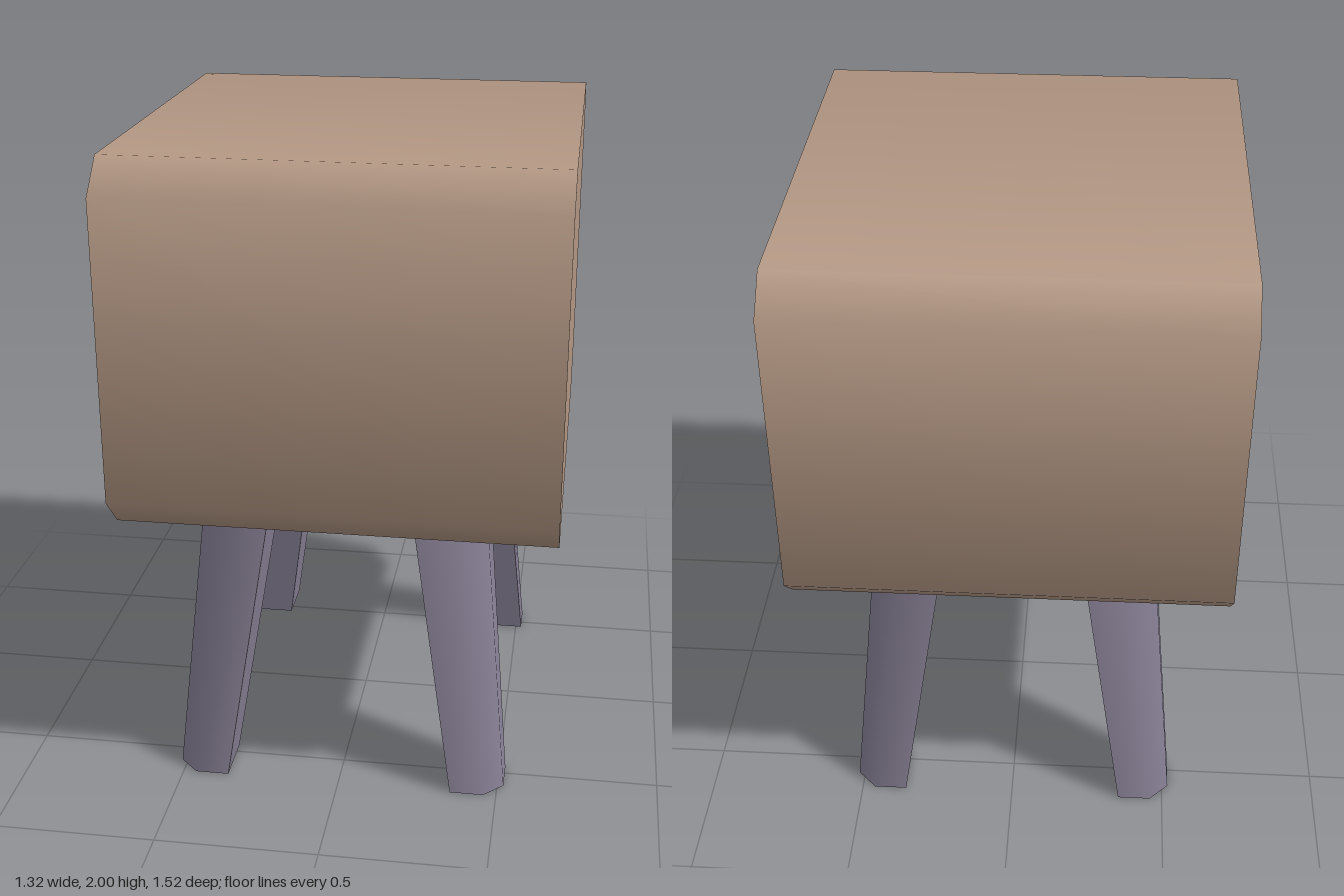
import * as THREE from 'three';

const wood = new THREE.MeshStandardMaterial({ color: 0xb49884 });
wood.name = 'tan wood';
const legPaint = new THREE.MeshStandardMaterial({ color: 0x888095 });
legPaint.name = 'grey violet';

// Body and opening sizes
const X = 0.66, Z = 0.76, Y0 = 0.89, Y1 = 2, CUT = 0.1;
const HZ = 0.605, HY0 = 1.045, HY1 = 1.845, DEPTH = 0.5;

// Skin between two rings (counterclockwise seen from ring b); edges under 60 degrees are smoothed
function loft(a, b, capA, capB) {
  const n = a.length, pos = [], nor = [];
  const add = (p, q) => { pos.push(p.x, p.y, p.z); nor.push(q.x, q.y, q.z); };
  const faceNormal = (p, q, r) => q.clone().sub(p).cross(r.clone().sub(p)).normalize();
  const face = a.map((p, i) => faceNormal(p, a[(i + 1) % n], b[i]));
  const blend = (p, q) => (p.dot(q) > 0.5 ? p.clone().add(q).normalize() : p);
  for (let i = 0; i < n; i++) {
    const j = (i + 1) % n;
    const ni = blend(face[i], face[(i + n - 1) % n]);
    const nj = blend(face[i], face[j]);
    add(a[i], ni); add(a[j], nj); add(b[j], nj);
    add(a[i], ni); add(b[j], nj); add(b[i], ni);
  }
  const cap = (ring) => {
    const q = faceNormal(ring[0], ring[1], ring[2]);
    for (let i = 1; i < n - 1; i++) [ring[0], ring[i], ring[i + 1]].forEach((p) => add(p, q));
  };
  if (capA) cap([...a].reverse());
  if (capB) cap(b);
  const g = new THREE.BufferGeometry();
  g.setAttribute('position', new THREE.Float32BufferAttribute(pos, 3));
  g.setAttribute('normal', new THREE.Float32BufferAttribute(nor, 3));
  return g;
}

// Leg cross-section: a square whose outer corner is cut, for the quadrant given by the signs
function legRing(y, xi, xo, zi, zo, c, sx, sz) {
  const ring = [[xi, zi], [xi, zo], [xo - c, zo], [xo, zo - c], [xo, zi]]
    .map(([x, z]) => new THREE.Vector3(x * sx, y, z * sz));
  return sx * sz < 0 ? ring.reverse() : ring;
}

export function createModel() {
  const model = new THREE.Group();
  model.name = 'bedsideTable';
  const addMesh = (name, geometry, material, parent = model) => {
    const m = new THREE.Mesh(geometry, material);
    m.name = name;
    parent.add(m);
    return m;
  };

  // Outer shell: octagonal section running along x, closed on the +x side
  const section = [
    [-Z, Y0 + CUT], [-Z, Y1 - CUT], [-Z + CUT, Y1], [Z - CUT, Y1],
    [Z, Y1 - CUT], [Z, Y0 + CUT], [Z - CUT, Y0], [-Z + CUT, Y0],
  ];
  const ringAt = (x) => section.map(([z, y]) => new THREE.Vector3(x, y, z));
  addMesh('cabinetShell', loft(ringAt(-X), ringAt(X), false, true), wood);

  // Frame around the opening on the -x side
  const frame = new THREE.Shape(section.map(([z, y]) => new THREE.Vector2(z, y)));
  frame.holes.push(new THREE.Path([
    new THREE.Vector2(-HZ, HY0), new THREE.Vector2(HZ, HY0),
    new THREE.Vector2(HZ, HY1), new THREE.Vector2(-HZ, HY1),
  ]));
  const frameGeo = new THREE.ShapeGeometry(frame).rotateY(-Math.PI / 2).translate(-X, 0, 0);
  addMesh('openingFrame', frameGeo, wood);

  // Cavity: a box turned inside out with its mouth removed
  const cavity = new THREE.BoxGeometry(X + DEPTH, HY1 - HY0, 2 * HZ);
  cavity.setIndex(Array.from(cavity.index.array).slice(6));
  cavity.clearGroups();
  cavity.scale(-1, 1, 1);
  cavity.deleteAttribute('normal');
  cavity.computeVertexNormals();
  addMesh('cavity', cavity, wood).position.set((DEPTH - X) / 2, (HY0 + HY1) / 2, 0);

  // Shelf set back from the opening
  const shelfFront = -0.556;
  addMesh('shelf', new THREE.BoxGeometry(DEPTH - shelfFront, 0.16, 2 * HZ), wood)
    .position.set((DEPTH + shelfFront) / 2, (HY0 + HY1) / 2, 0);

  // Four splayed, tapering legs
  const legs = new THREE.Group();
  legs.name = 'legs';
  model.add(legs);
  for (const sx of [1, -1]) {
    for (const sz of [1, -1]) {
      const foot = legRing(0, 0.355, 0.52, 0.465, 0.63, 0.06, sx, sz);
      const top = legRing(Y0, 0.22, 0.438, 0.33, 0.548, 0.08, sx, sz);
      addMesh((sz > 0 ? 'front' : 'back') + (sx > 0 ? 'Left' : 'Right') + 'Leg',
        loft(foot, top, true, true), legPaint, legs);
    }
  }
  return model;
}
